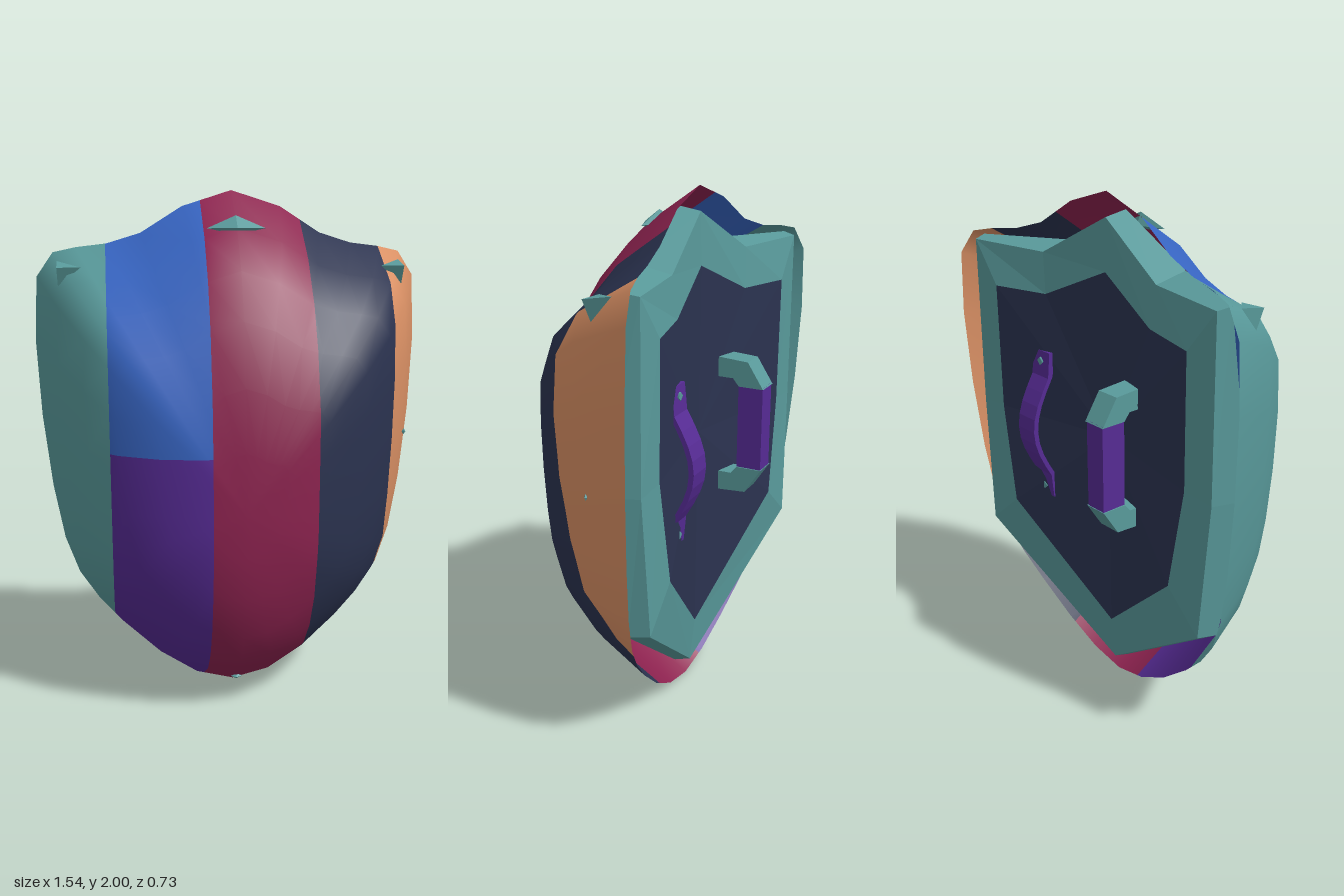
import * as THREE from 'three';
import { ConvexGeometry } from 'three/addons/geometries/ConvexGeometry.js';

const mat = (name, color) => {
  const m = new THREE.MeshStandardMaterial({ color, side: THREE.DoubleSide });
  m.name = name;
  return m;
};

// Half outline (right side, bottom to top) -> closed loop, counter-clockwise from the front
const mirrorLoop = (half) => [
  ...half,
  ...half.slice(1, -1).reverse().map(([x, ...rest]) => [-x, ...rest]),
];

const OUTLINE = mirrorLoop([
  [0, 0], [0.15, 0.035], [0.3, 0.125], [0.45, 0.255], [0.55, 0.36], [0.625, 0.465], [0.68, 0.61],
  [0.722, 0.83], [0.755, 1.12], [0.77, 1.42], [0.757, 1.67], [0.69, 1.765], [0.6, 1.785],
  [0.48, 1.8], [0.35, 1.84], [0.19, 1.94], [0, 2],
]);
const CENTRE_Y = 0.85;
// [share of the way to the edge, share of the depth lost]
const DOME = [[0.02, 0], [0.2, 0.005], [0.4, 0.05], [0.6, 0.175], [0.75, 0.35], [0.88, 0.61], [1, 1]];
const edgeZ = (x, y) => -0.11 - 0.02 * y - 0.225 * x * x;

// Keep the part of a polygon where sign * p[axis] >= sign * limit
function clip(poly, axis, limit, sign) {
  const out = [];
  poly.forEach((p, i) => {
    const q = poly[(i + 1) % poly.length];
    const dp = sign * (p[axis] - limit), dq = sign * (q[axis] - limit);
    if (dp >= 0) out.push(p);
    if (dp * dq < 0) out.push(p.map((v, k) => v + (q[k] - v) * dp / (dp - dq)));
  });
  return out;
}

// Domed face triangles; each corner is [x, y, z, nx, ny, nz]
function domeTriangles() {
  const n = OUTLINE.length, pos = [], index = [];
  for (const [s, drop] of DOME) {
    for (const [x, y] of OUTLINE) {
      pos.push(x * s, CENTRE_Y + (y - CENTRE_Y) * s, 0.36 - drop * (0.36 - edgeZ(x, y)));
    }
  }
  const hub = pos.length / 3;
  pos.push(0, CENTRE_Y, 0.36);
  for (let i = 0; i < n; i++) {
    const j = (i + 1) % n;
    index.push(hub, i, j);
    for (let r = 0; r < DOME.length - 1; r++) {
      const a = r * n, b = a + n;
      index.push(a + i, b + i, b + j, a + i, b + j, a + j);
    }
  }
  const g = new THREE.BufferGeometry();
  g.setAttribute('position', new THREE.Float32BufferAttribute(pos, 3));
  g.setIndex(index);
  g.computeVertexNormals();
  const N = g.attributes.normal;
  const corner = (i) => [pos[3 * i], pos[3 * i + 1], pos[3 * i + 2], N.getX(i), N.getY(i), N.getZ(i)];
  const tris = [];
  for (let i = 0; i < index.length; i += 3) tris.push([0, 1, 2].map((k) => corner(index[i + k])));
  return tris;
}

function stripeGeometry(tris, x0, x1, y0, y1) {
  const pos = [], nor = [];
  for (const t of tris) {
    let p = clip(clip(t, 0, x0, 1), 0, x1, -1);
    p = clip(clip(p, 1, y0, 1), 1, y1, -1);
    for (let i = 1; i < p.length - 1; i++) {
      for (const v of [p[0], p[i], p[i + 1]]) {
        pos.push(...v.slice(0, 3));
        nor.push(...v.slice(3));
      }
    }
  }
  const g = new THREE.BufferGeometry();
  g.setAttribute('position', new THREE.Float32BufferAttribute(pos, 3));
  g.setAttribute('normal', new THREE.Float32BufferAttribute(nor, 3));
  return g;
}

// Flat-shaded geometry from a list of triangles
function flat(tris) {
  const g = new THREE.BufferGeometry();
  g.setAttribute('position', new THREE.Float32BufferAttribute(tris.flat(2), 3));
  g.computeVertexNormals();
  return g;
}

// Side profile given as [z, y] points, extruded across x
function sideProfile(points, width) {
  const shape = new THREE.Shape(points.map(([z, y]) => new THREE.Vector2(z, y)));
  return new THREE.ExtrudeGeometry(shape, { depth: width, bevelEnabled: false })
    .translate(0, 0, -width / 2).rotateY(-Math.PI / 2);
}

// Faceted stud from its corner points
const studGeometry = (points) => new ConvexGeometry(points.map((p) => new THREE.Vector3(...p)));

export function createModel() {
  const group = new THREE.Group();
  group.name = 'shield';
  const teal = mat('teal', 0x599a9b), blue = mat('blue', 0x3866c4), purple = mat('purple', 0x562b94);
  const crimson = mat('crimson', 0x8e2350), navy = mat('navy', 0x2b3350), orange = mat('orange', 0xdb9165);
  const add = (name, geometry, material, x = 0, y = 0, z = 0) => {
    const m = new THREE.Mesh(geometry, material);
    m.name = name;
    m.position.set(x, y, z);
    group.add(m);
  };

  // Painted stripes of the domed face
  const tris = domeTriangles();
  [
    ['rightStripe', -1, -0.485, -1, 3, teal],
    ['upperBlueStripe', -0.485, -0.12, 1.06, 3, blue],
    ['lowerPurpleStripe', -0.485, -0.12, -1, 1.06, purple],
    ['centreStripe', -0.12, 0.27, -1, 3, crimson],
    ['navyStripe', 0.27, 0.6, -1, 3, navy],
    ['leftStripe', 0.6, 1, -1, 3, orange],
  ].forEach(([name, x0, x1, y0, y1, m]) => add(name, stripeGeometry(tris, x0, x1, y0, y1), m));

  // Back rim: side wall flaring out to the shell, and bevelled band
  const base = mirrorLoop([[0, 0.045, -0.06], [0.642, 0.53, -0.2], [0.705, 1.07, -0.14],
    [0.672, 1.75, -0.215], [0.31, 1.765, -0.065], [0, 1.925, -0.06]]);
  const ridge = mirrorLoop([[0, 0.07, -0.13], [0.62, 0.54, -0.277], [0.657, 1.07, -0.265],
    [0.655, 1.74, -0.266], [0.31, 1.74, -0.2], [0, 1.91, -0.155]]);
  const inner = mirrorLoop([[0, 0.26, -0.15], [0.46, 0.68, -0.272], [0.527, 1.08, -0.265],
    [0.528, 1.58, -0.268], [0.29, 1.585, -0.21], [0, 1.716, -0.16]]);
  const rim = [], panel = [];
  ridge.forEach((_, i) => {
    const j = (i + 1) % ridge.length;
    for (const [a, b] of [[base, ridge], [ridge, inner]]) {
      rim.push([a[i], b[i], b[j]], [a[i], b[j], a[j]]);
    }
    panel.push([inner[i], [0, 1.08, -0.155], inner[j]]);
  });
  add('backRim', flat(rim), teal);
  add('backPanel', flat(panel), navy);

  // Hand grip with two angled brackets
  const bracket = [[-0.15, 1.35], [-0.3, 1.34], [-0.365, 1.24], [-0.265, 1.24], [-0.24, 1.27], [-0.15, 1.27]];
  add('upperBracket', sideProfile(bracket, 0.096), teal, -0.173);
  add('lowerBracket', sideProfile(bracket.map(([z, y]) => [z, 2.15 - y]), 0.096), teal, -0.173);
  add('grip', new THREE.BoxGeometry(0.086, 0.34, 0.1), purple, -0.173, 1.075, -0.312);

  // Arm strap: a bowed band with a tab at each end
  const outer = [[-0.225, 0.75], [-0.235, 0.85]], under = [[-0.19, 0.75], [-0.215, 0.85]];
  for (let i = 1; i < 8; i++) {
    const y = 0.85 + 0.41 * i / 8, bow = 0.077 * Math.sin(Math.PI * i / 8);
    outer.push([-0.235 - bow, y]);
    under.push([-0.215 - bow, y]);
  }
  outer.push([-0.235, 1.26], [-0.225, 1.36]);
  under.push([-0.215, 1.26], [-0.19, 1.36]);
  add('armStrap', sideProfile([...outer, ...under.reverse()], 0.1), purple, 0.31);
  for (const y of [0.79, 1.32]) {
    add('strapBolt', new THREE.CylinderGeometry(0.016, 0.016, 0.02, 4).rotateX(Math.PI / 2), teal, 0.31, y, -0.225);
  }

  // Studs on the face
  add('topStud', studGeometry([[-0.11, 1.86, 0.025], [0.11, 1.86, 0.025], [0, 1.907, 0.01],
    [0, 1.838, 0.045], [0, 1.862, 0.068], [0, 1.86, -0.01]]), teal);
  for (const s of [-1, 1]) {
    add('shoulderStud', studGeometry([[s * 0.578, 1.715, -0.075], [s * 0.672, 1.735, -0.175],
      [s * 0.666, 1.645, -0.095], [s * 0.668, 1.715, -0.065]]), teal);
  }
  add('bottomStud', new THREE.OctahedronGeometry(0.02).scale(1.2, 0.5, 0.7), teal, 0, 0.073, 0.03);
  add('sideStud', new THREE.OctahedronGeometry(0.01).scale(0.8, 1.3, 0.6), teal, 0.692, 1.055, -0.075);
  return group;
}
